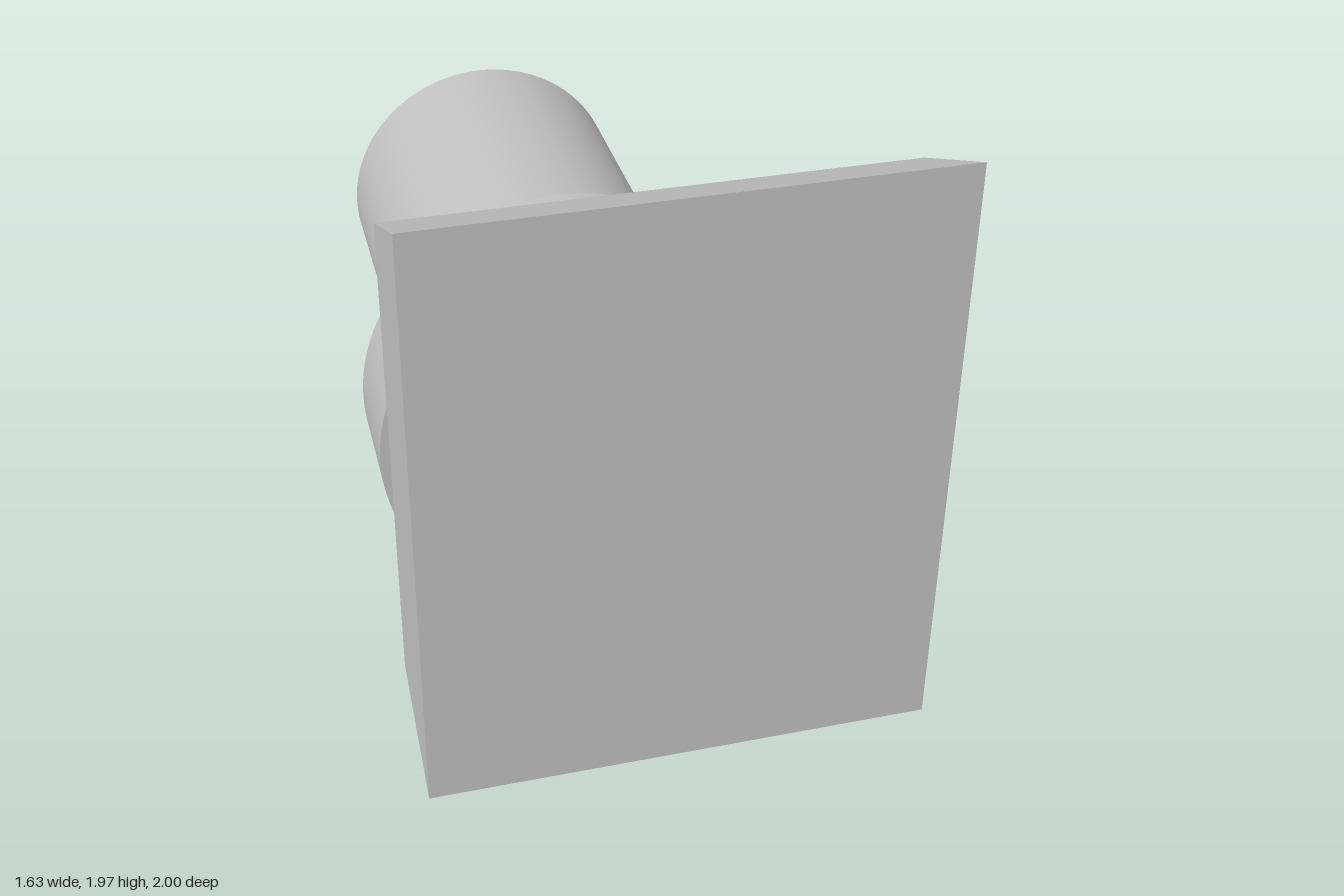
import * as THREE from 'three';

const CENTRE_Y = 0.987;
const AXIS_X = -0.19;

export function createModel() {
  const group = new THREE.Group();
  const grey = new THREE.MeshStandardMaterial({ color: 0xc0c0c0 });
  grey.name = 'plain grey';

  function add(name, geometry, x, z) {
    const mesh = new THREE.Mesh(geometry, grey);
    mesh.name = name;
    mesh.position.set(x, CENTRE_Y, z);
    group.add(mesh);
  }

  // Round part along z between two depths
  function addRound(name, radius, zBack, zFront) {
    const geometry = new THREE.CylinderGeometry(radius, radius, zFront - zBack, 96);
    geometry.rotateX(Math.PI / 2);
    add(name, geometry, AXIS_X, (zBack + zFront) / 2);
  }

  // Square plate whose top and bottom flare out towards the front
  const plate = new THREE.BoxGeometry(1.6, 1.6, 0.4);
  const pos = plate.attributes.position;
  for (let i = 0; i < pos.count; i++) {
    if (pos.getZ(i) > 0) pos.setY(i, Math.sign(pos.getY(i)) * CENTRE_Y);
  }
  plate.computeVertexNormals();
  add('flaredPlate', plate, 0.015, 0.8);

  // Collar and shaft, set off-centre on the plate
  addRound('collar', 0.625, 0.25, 0.6);
  addRound('shaft', 0.47, -1, 0.25);

  return group;
}
